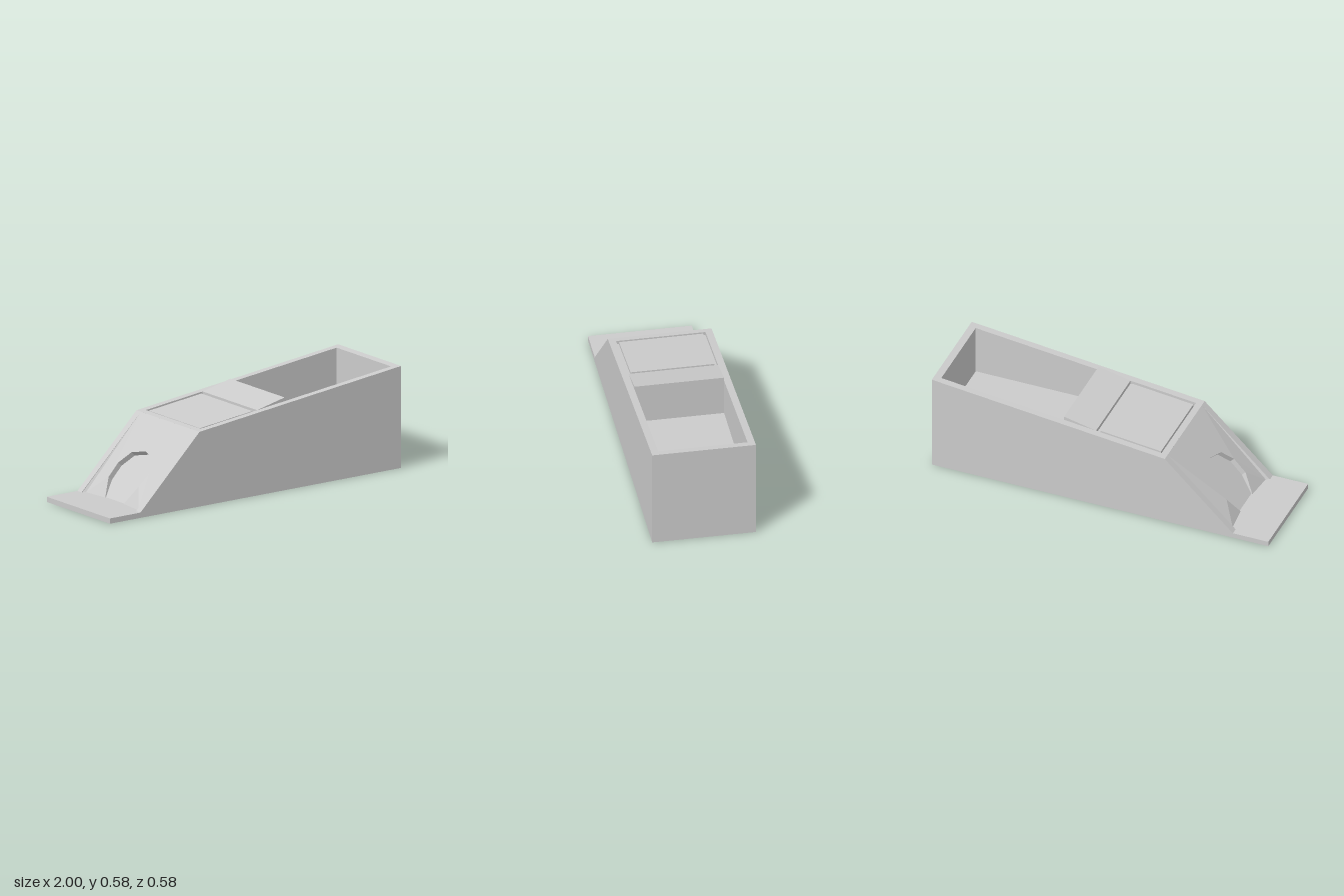
import * as THREE from 'three';

const material = new THREE.MeshStandardMaterial({ color: 0xcccccc, flatShading: true, side: THREE.DoubleSide });
const INNER = 0.25, OUTER = 0.29, STEP = 0.03;

// Heights of the sloping rim and of the ramp at a given x
const rim = (x) => 0.425 + (x + 0.385) * 0.112;
const ramp = (x) => STEP + (x + 0.79) * 0.975;

function part(name, geometry) {
  const mesh = new THREE.Mesh(geometry, material);
  mesh.name = name;
  return mesh;
}

// Side profile in x and y, extruded from z0 to z1
function slab(name, points, z0, z1) {
  const shape = new THREE.Shape(points.map(([x, y]) => new THREE.Vector2(x, y)));
  const geometry = new THREE.ExtrudeGeometry(shape, { depth: z1 - z0, bevelEnabled: false });
  return part(name, geometry.translate(0, 0, z0));
}

export function createModel() {
  const group = new THREE.Group();

  // Side walls
  const side = [[-1, 0], [1, 0], [1, rim(1)], [-0.385, 0.425], [-0.79, STEP], [-1, STEP]];
  group.add(slab('leftSideWall', side, INNER, OUTER));
  group.add(slab('rightSideWall', side, -OUTER, -INNER));

  // Body between the walls: open bin, raised wedge, lid seat, recessed ramp back, entry step
  const seat = 0.02;
  group.add(slab('body', [
    [-1, 0], [1, 0], [1, rim(1)], [0.96, rim(0.96)],
    [0.96, 0.28], [0.23, 0.28], [0.23, 0.515], [0.04, rim(0.04)],
    [0.04, rim(0.04) - seat], [-0.35, rim(-0.35) - seat], [-0.35, rim(-0.35)],
    [-0.385, 0.425], [-0.385, ramp(-0.43)], [-0.745, STEP], [-1, STEP],
  ], -INNER, INNER));

  // Lid set into its seat with a narrow gap all round
  const lid = [[-0.34, 1], [-0.34, 0], [0.02, 0], [0.02, 1]]
    .map(([x, top]) => [x, rim(x) - (top ? 0.003 : seat)]);
  group.add(slab('lid', lid, -0.235, 0.235));

  // Ramp plate with a faceted opening, as half an outline [x, z] mirrored across z = 0
  const halfHole = [[-0.752, 0.085], [-0.69, 0.137], [-0.62, 0.143], [-0.56, 0.1]];
  const mirror = (list) => list.map(([x, z]) => [x, -z]).reverse();
  const hole = [...halfHole, [-0.537, 0], ...mirror(halfHole)];
  const edge = [[-0.385, INNER], [-0.785, INNER], [-0.768, 0.24]];
  const outline = [...edge, ...hole, ...mirror(edge)];
  const height = (x, z) => {
    const lowerEdge = x < -0.74;
    return lowerEdge ? STEP : ramp(x);
  };
  const plate = new THREE.ShapeGeometry(
    new THREE.Shape(outline.map(([x, z]) => new THREE.Vector2(x, -z))));
  plate.rotateX(-Math.PI / 2);
  const pos = plate.attributes.position;
  for (let i = 0; i < pos.count; i++) pos.setY(i, height(pos.getX(i), pos.getZ(i)));
  plate.computeVertexNormals();
  group.add(part('rampPlate', plate));

  // Wall around the opening, set back square to the ramp
  const depth = 0.0225, corners = [];
  for (let i = 0; i < hole.length - 1; i++) {
    const [a, b] = [hole[i], hole[i + 1]].map(([x, z]) => new THREE.Vector3(x, height(x, z), z));
    const [c, d] = [a, b].map((p) => new THREE.Vector3(p.x + depth, p.y - depth, p.z));
    corners.push(a, c, b, b, c, d);
  }
  const wall = new THREE.BufferGeometry().setFromPoints(corners);
  wall.computeVertexNormals();
  group.add(part('openingWall', wall));

  return group;
}
